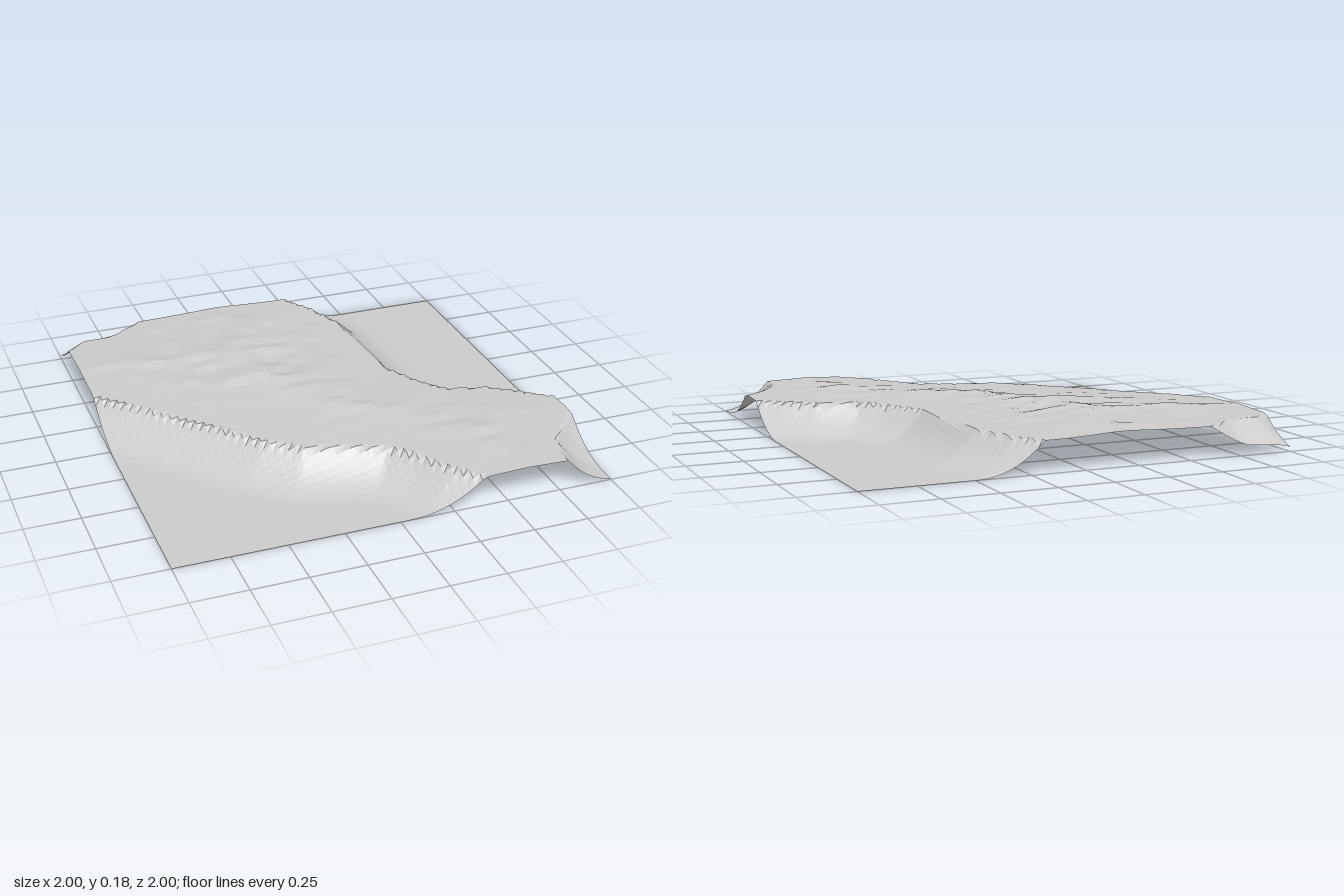
import * as THREE from 'three';

const CELLS = 64, PLATEAU = 0.14, SLOPE = 0.26, BUMP = 0.055;

// Rim of the plateau above each valley [x, z], and the map corner each valley fills
const valleys = [
  { corner: [-1, 1], rim: [[-1, -0.29], [-0.8, -0.07], [-0.6, 0.15], [-0.4, 0.38], [-0.25, 0.5],
    [-0.05, 0.56], [0.1, 0.62], [0.2, 0.75], [0.28, 0.88], [0.39, 1]] },
  { corner: [1, -1], rim: [[0.19, -1], [0.27, -0.87], [0.35, -0.65], [0.37, -0.3], [0.38, -0.11],
    [0.47, 0.07], [0.57, 0.2], [0.75, 0.25], [0.88, 0.34], [1, 0.44]] },
  { corner: [1, 1], rim: [[0.78, 1], [0.82, 0.82], [0.9, 0.71], [1, 0.62]] },
  { corner: [-1, -1], rim: [[-1, -0.8], [-0.91, -0.88], [-0.74, -0.9], [-0.6, -1]] },
];

function segmentDistance(x, z, [ax, az], [bx, bz]) {
  const dx = bx - ax, dz = bz - az;
  const t = THREE.MathUtils.clamp(((x - ax) * dx + (z - az) * dz) / (dx * dx + dz * dz), 0, 1);
  return Math.hypot(x - ax - t * dx, z - az - t * dz);
}

function rimDistance(x, z, rim) {
  let d = Infinity;
  for (let i = 1; i < rim.length; i++) d = Math.min(d, segmentDistance(x, z, rim[i - 1], rim[i]));
  return d;
}

// Even-odd test; points on the map border are pulled slightly inward
function inside(px, pz, poly) {
  const x = px * 0.9999, z = pz * 0.9999;
  let hit = false;
  for (let i = 0, j = poly.length - 1; i < poly.length; j = i++) {
    const [ax, az] = poly[i], [bx, bz] = poly[j];
    if ((az > z) !== (bz > z) && x < ((bx - ax) * (z - az)) / (bz - az) + ax) hit = !hit;
  }
  return hit;
}

// Seeded value noise, 0 to 1
function hash(i, j) {
  const s = Math.sin(i * 127.1 + j * 311.7 + 17) * 43758.5453;
  return s - Math.floor(s);
}
function noise(x, z) {
  const i = Math.floor(x), j = Math.floor(z);
  const u = THREE.MathUtils.smoothstep(x - i, 0, 1), v = THREE.MathUtils.smoothstep(z - j, 0, 1);
  const { lerp } = THREE.MathUtils;
  return lerp(lerp(hash(i, j), hash(i + 1, j), u), lerp(hash(i, j + 1), hash(i + 1, j + 1), u), v);
}

function height(x, z) {
  let nearest = Infinity;
  for (const { corner, rim } of valleys) {
    const d = rimDistance(x, z, rim);
    // Valley side: steep below the rim, easing out to the flat floor
    if (inside(x, z, [...rim, corner])) return PLATEAU * Math.pow(Math.max(0, 1 - d / SLOPE), 2.2);
    nearest = Math.min(nearest, d);
  }
  // Rough ground grows higher away from the rims
  const rise = Math.pow(Math.min(1, nearest / 0.62), 1.5);
  const rough = 0.55 * noise(x * 9, z * 16) + 0.45 * noise(x * 4 + 9, z * 6 + 5);
  return PLATEAU + BUMP * rise * (0.1 + 1.0 * rough);
}

export function createModel() {
  const group = new THREE.Group();
  group.name = 'terrain';

  const geometry = new THREE.PlaneGeometry(2, 2, CELLS, CELLS).rotateX(-Math.PI / 2);
  const p = geometry.attributes.position;
  for (let i = 0; i < p.count; i++) p.setY(i, height(p.getX(i), p.getZ(i)));
  geometry.computeVertexNormals();

  const material = new THREE.MeshStandardMaterial({
    color: 0xcccccc, flatShading: true, side: THREE.DoubleSide,
  });
  const ground = new THREE.Mesh(geometry, material);
  ground.name = 'plateauAndValleys';
  group.add(ground);
  return group;
}
